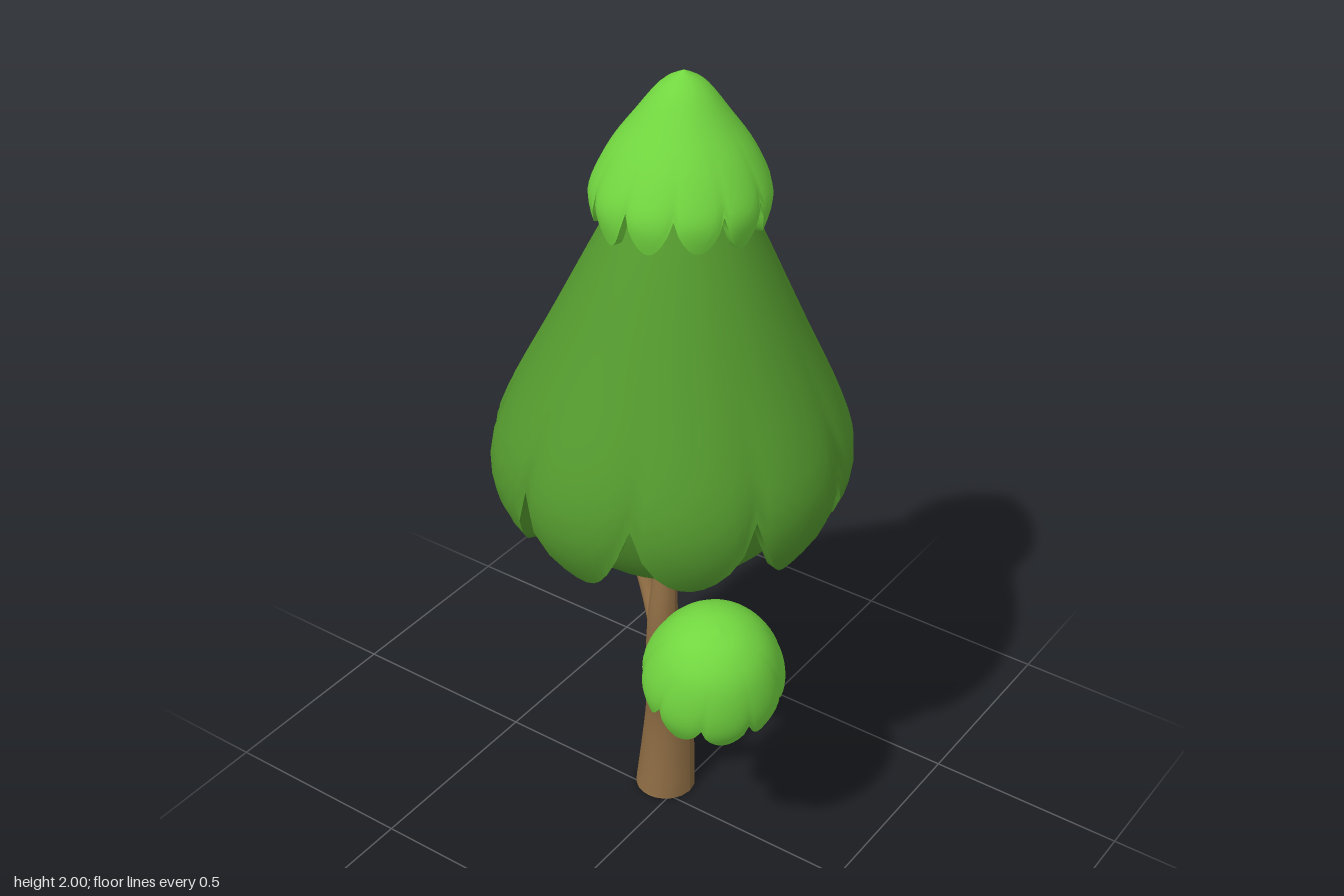
import * as THREE from 'three';

const bark = new THREE.MeshStandardMaterial({ color: 0x8b6a42, side: THREE.DoubleSide });
bark.name = 'bark brown';
const leaf = new THREE.MeshStandardMaterial({ color: 0x549a2e, side: THREE.DoubleSide });
leaf.name = 'leaf green';
const lime = new THREE.MeshStandardMaterial({ color: 0x72d640, side: THREE.DoubleSide });
lime.name = 'bright green';

const v2 = (list) => list.map(([r, y]) => new THREE.Vector2(r, y));

function add(parent, name, geometry, material) {
  const mesh = new THREE.Mesh(geometry, material);
  mesh.name = name;
  parent.add(mesh);
  return mesh;
}

// Limb: a tube whose rings shrink evenly from r0 to r1
function limb(points, r0, r1) {
  const curve = new THREE.CatmullRomCurve3(points.map((p) => new THREE.Vector3(...p)));
  const rings = 20, sides = 16;
  const geo = new THREE.TubeGeometry(curve, rings, 1, sides);
  const pos = geo.attributes.position, p = new THREE.Vector3();
  for (let i = 0; i < pos.count; i++) {
    const t = Math.floor(i / (sides + 1)) / rings;
    const c = curve.getPointAt(t);
    p.fromBufferAttribute(pos, i).sub(c).multiplyScalar(r0 + (r1 - r0) * t).add(c);
    pos.setXYZ(i, p.x, Math.max(p.y, 0), p.z);
  }
  geo.computeVertexNormals();
  return geo;
}

// Leaf cap: a profile swept round the axis, cut at a hem of pointed lobes, with a
// thin lip turned inward. notch is the share of the profile where the cuts end.
function leafCap({ profile, lobes, phase, notch, puff = 0.04, lip = 0.92, lean = () => [0, 0] }) {
  const curve = new THREE.SplineCurve(v2(profile));
  const rows = 18, sides = lobes * 10, pos = [], index = [];
  for (let i = 0; i <= rows + 2; i++) {
    const v = Math.min(i / rows, 1);
    for (let j = 0; j < sides; j++) {
      const a = phase + (j / sides) * Math.PI * 2;
      const wave = Math.pow(Math.sin((j / sides) * lobes * Math.PI) ** 2, 0.4);
      const vary = 0.9 + 0.1 * Math.sin(3 * a + 1);
      const p = curve.getPointAt(v * (notch + (1 - notch) * wave * vary));
      let r = Math.max(p.x, 0) * (1 + puff * v ** 4 * (wave - 0.5));
      if (i === 0) r = 0;
      if (i === rows + 2) r *= lip;
      const [dx, dz] = lean(p.y);
      pos.push(dx + r * Math.sin(a), p.y, dz + r * Math.cos(a));
    }
  }
  for (let i = 0; i < rows + 2; i++) {
    if (i === rows) continue; // the doubled row keeps the hem edge sharp
    for (let j = 0; j < sides; j++) {
      const k = (j + 1) % sides;
      const a = i * sides + j, b = a + sides, c = i * sides + k, d = c + sides;
      if (i > 0) index.push(a, b, c);
      index.push(c, b, d);
    }
  }
  const geo = new THREE.BufferGeometry();
  geo.setAttribute('position', new THREE.Float32BufferAttribute(pos, 3));
  geo.setIndex(index);
  geo.computeVertexNormals();
  return geo;
}

// Small bush: a bright cap over a dark rounded core
function bush(parent, name, position, tilt, cap, coreR, coreH) {
  const group = new THREE.Group();
  group.name = name;
  group.position.set(...position);
  group.rotation.set(...tilt);
  add(group, name + 'Cap', leafCap(cap), lime);
  const core = add(group, name + 'Core', new THREE.SphereGeometry(1, 28, 18), leaf);
  core.scale.set(coreR, coreH, coreR);
  parent.add(group);
}

export function createModel() {
  const tree = new THREE.Group();
  tree.name = 'tree';

  // Trunk and branches
  add(tree, 'trunk', limb([[0.045, 0, -0.045], [0.053, 0.12, -0.043], [0.05, 0.25, -0.037],
    [0.005, 0.44, -0.02], [0, 0.58, -0.02], [0.02, 0.72, -0.025], [0.025, 0.86, -0.02]], 0.076, 0.018), bark);
  const base = add(tree, 'trunkBase', new THREE.CircleGeometry(0.075, 24), bark);
  base.rotation.x = Math.PI / 2;
  base.position.set(0.045, 0.001, -0.045);
  add(tree, 'rightBranch', limb([[0.025, 0.23, 0], [-0.01, 0.33, 0.065], [-0.05, 0.42, 0.13],
    [-0.12, 0.52, 0.21]], 0.028, 0.014), bark);
  add(tree, 'leftBranch', limb([[0.03, 0.37, -0.03], [0.065, 0.43, -0.07], [0.12, 0.5, -0.14],
    [0.14, 0.56, -0.18], [0.15, 0.64, -0.21]], 0.03, 0.016), bark);

  // Crown: leaning shell with a pointed hem, and the bowl under it
  add(tree, 'crownShell', leafCap({
    profile: [[0, 1.82], [0.09, 1.79], [0.15, 1.69], [0.285, 1.4], [0.382, 1.19],
      [0.41, 1.08], [0.39, 0.98], [0.33, 0.885]],
    lobes: 9, phase: THREE.MathUtils.degToRad(12), notch: 0.78,
    lean: (y) => {
      const t = Math.max(0, (y - 1.05) / 0.65);
      return [-0.02 * t, 0.005 + 0.04 * t];
    },
  }), leaf);
  const bowl = add(tree, 'crownBowl', new THREE.LatheGeometry(new THREE.SplineCurve(v2([[0, 0.768],
    [0.1, 0.785], [0.21, 0.835], [0.285, 0.91], [0.335, 1.0], [0.36, 1.1], [0.32, 1.22]])).getPoints(20), 40), leaf);
  bowl.position.set(0.012, 0, 0);

  // Bright tip on top
  const tip = add(tree, 'crownTip', leafCap({
    profile: [[0, 2], [0.05, 1.97], [0.105, 1.9], [0.155, 1.83], [0.19, 1.755], [0.19, 1.71], [0.175, 1.66]],
    lobes: 11, phase: 0.1, notch: 0.77, lip: 0.88,
    lean: (y) => [-0.01 * (2 - y) / 0.25, 0],
  }), lime);
  tip.position.set(-0.01, 0, 0.043);

  // Side bushes
  bush(tree, 'rightBush', [-0.15, 0.625, 0.23], [0.27, 0, 0.27], {
    profile: [[0, 0.165], [0.06, 0.152], [0.115, 0.11], [0.152, 0.04], [0.165, -0.03], [0.15, -0.1]],
    lobes: 9, phase: 0.3, notch: 0.76, lip: 0.88,
  }, 0.145, 0.16);
  bush(tree, 'leftBush', [0.165, 0.68, -0.24], [-0.06, 0, -0.06], {
    profile: [[0, 0.113], [0.06, 0.1], [0.115, 0.062], [0.155, 0.01], [0.172, -0.025], [0.16, -0.06]],
    lobes: 9, phase: 0.5, notch: 0.82, lip: 0.82,
  }, 0.138, 0.08);

  return tree;
}
